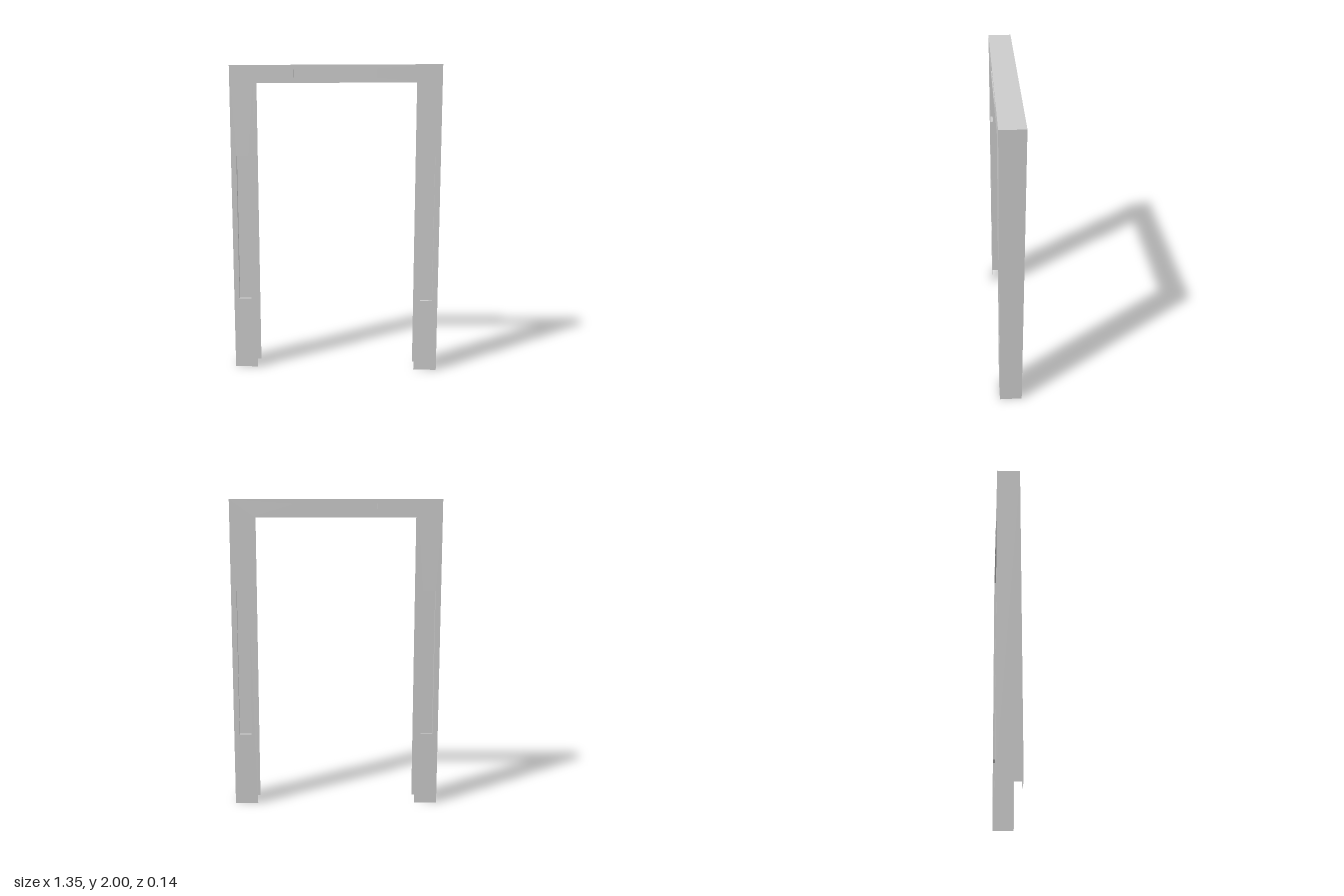
import * as THREE from 'three';

const W = 0.675, INNER = 0.525, H = 2, LINTEL = 1.895, Z = 0.0725;

// Sunken panels: centre x, centre y, width, height, depth
const PANELS = [
  { name: 'rightLegRecess', x: -0.6, y: 0.95, w: 0.08, h: 0.95, d: 0.02 },
  { name: 'leftLegRecess', x: 0.6, y: 0.95, w: 0.08, h: 0.95, d: 0.02 },
  { name: 'lintelRecess', x: 0, y: 1.947, w: 0.525, h: 0.052, d: 0.01 },
];

const material = new THREE.MeshStandardMaterial({ color: 0xcccccc, side: THREE.DoubleSide });

function addMesh(parent, name, geometry, x = 0, y = 0, z = 0) {
  const mesh = new THREE.Mesh(geometry, material);
  mesh.name = name;
  mesh.position.set(x, y, z);
  parent.add(mesh);
  return mesh;
}

// Arch-shaped face sheet with an opening for each recess
function faceGeometry() {
  const shape = new THREE.Shape([
    [-W, 0], [-INNER, 0], [-INNER, LINTEL], [INNER, LINTEL],
    [INNER, 0], [W, 0], [W, H], [-W, H],
  ].map(([x, y]) => new THREE.Vector2(x, y)));
  for (const { x, y, w, h } of PANELS) {
    shape.holes.push(new THREE.Path([[-1, -1], [-1, 1], [1, 1], [1, -1]].map(
      ([i, j]) => new THREE.Vector2(x + i * w / 2, y + j * h / 2))));
  }
  return new THREE.ShapeGeometry(shape);
}

// Shallow tray: a box without its front, seen from the inside
function trayGeometry(w, h, d) {
  const geometry = new THREE.BoxGeometry(w, h, d);
  const index = Array.from(geometry.index.array);
  index.splice(24, 6);
  index.reverse();
  geometry.setIndex(index);
  geometry.clearGroups();
  const normal = geometry.attributes.normal;
  for (let i = 0; i < normal.array.length; i++) normal.array[i] *= -1;
  return geometry;
}

function createFace(name) {
  const face = new THREE.Group();
  face.name = name;
  addMesh(face, 'faceSheet', faceGeometry(), 0, 0, Z);
  for (const { name: label, x, y, w, h, d } of PANELS) {
    addMesh(face, label, trayGeometry(w, h, d), x, y, Z - d / 2);
  }
  return face;
}

export function createModel() {
  const model = new THREE.Group();
  model.name = 'doorFrame';

  // Matching faces, front and back
  const back = createFace('backFace');
  back.rotation.y = Math.PI;
  model.add(createFace('frontFace'), back);

  // Outer sides and top; the inside and the feet stay open
  for (const s of [-1, 1]) {
    const side = addMesh(model, s > 0 ? 'leftSide' : 'rightSide',
      new THREE.PlaneGeometry(2 * Z, H), s * W, H / 2, 0);
    side.rotation.y = s * Math.PI / 2;
  }
  const top = addMesh(model, 'topCap', new THREE.PlaneGeometry(2 * W, 2 * Z), 0, H, 0);
  top.rotation.x = -Math.PI / 2;

  return model;
}
